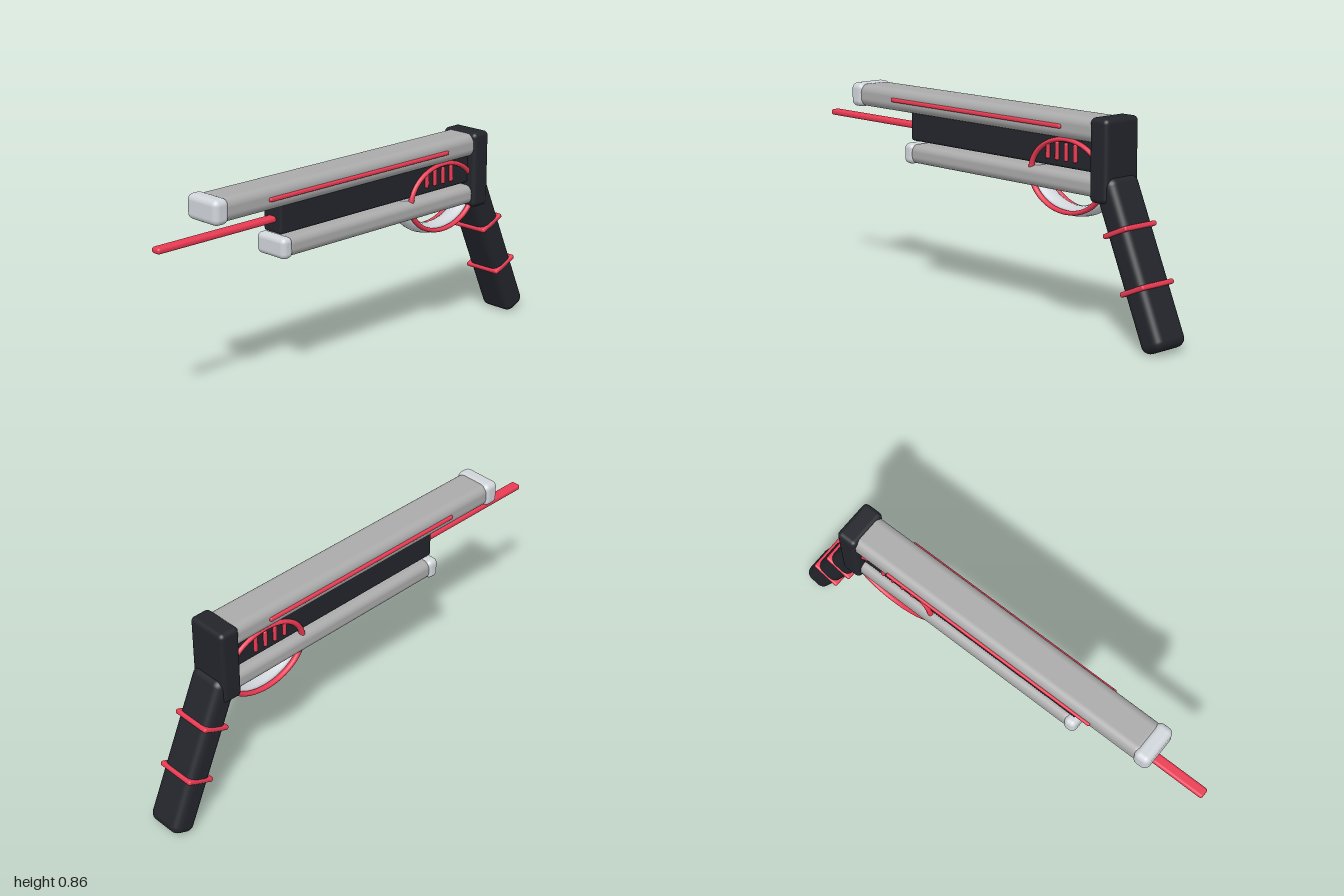
import * as THREE from 'three';
import { RoundedBoxGeometry } from 'three/addons/geometries/RoundedBoxGeometry.js';

const mat = (color) => new THREE.MeshStandardMaterial({ color });

export function createModel() {
  const model = new THREE.Group();
  const grey = mat(0xaaaaaa), pale = mat(0xd0d5da), black = mat(0x23252b), red = mat(0xe83a52);

  function add(name, geometry, material, parent = model) {
    const mesh = new THREE.Mesh(geometry, material);
    mesh.name = name;
    parent.add(mesh);
    return mesh;
  }

  // Rounded block from its extents in x and y, and its depth in z
  function block(name, x0, x1, y0, y1, depth, radius, material, z = 0) {
    const mesh = add(name, new RoundedBoxGeometry(x1 - x0, y1 - y0, depth, 4, radius), material);
    mesh.position.set((x0 + x1) / 2, (y0 + y1) / 2, z);
    return mesh;
  }

  // Flattened ring in the x-y plane
  function ring(name, rx, ry, tube, depth, material, z = 0) {
    const mesh = add(name, new THREE.TorusGeometry(rx, tube, 12, 64), material);
    mesh.scale.set(1, ry / rx, depth / tube);
    mesh.position.set(0.487, 0.61, z);
    return mesh;
  }

  // Barrels with their end caps
  block('upperBarrel', -0.74, 0.68, 0.756, 0.851, 0.16, 0.035, grey);
  block('upperBarrelCap', -0.78, -0.708, 0.753, 0.854, 0.172, 0.025, pale);
  block('lowerBarrel', -0.41, 0.68, 0.549, 0.629, 0.15, 0.03, grey);
  block('lowerBarrelCap', -0.44, -0.385, 0.546, 0.632, 0.16, 0.022, pale);

  // Dark core and the rod reaching out of its end
  block('core', -0.425, 0.68, 0.64, 0.765, 0.1, 0.012, black);
  block('frontRod', -1, -0.4, 0.684, 0.709, 0.044, 0.011, red);

  // Rear plate
  block('rearPlate', 0.64, 0.731, 0.535, 0.857, 0.18, 0.02, black);

  // Guard ring around the core
  ring('guard', 0.197, 0.139, 0.03, 0.04, pale);

  // Trim repeated on both sides
  for (const side of [1, -1]) {
    ring('guardTrim', 0.191, 0.141, 0.012, 0.012, red, side * 0.052);
    block('barrelStripe', -0.51, 0.485, 0.796, 0.813, 0.02, 0.007, red, side * 0.08);
    for (let i = 0; i < 4; i++) {
      const x = 0.388 + i * 0.049;
      block('ventBar', x - 0.008, x + 0.008, 0.667, 0.738, 0.018, 0.006, red, side * 0.051);
    }
  }

  // Slanted grip with two bands
  const grip = new THREE.Group();
  grip.name = 'grip';
  grip.position.set(0.824, 0.318, 0);
  grip.rotation.z = 0.413;
  model.add(grip);
  add('gripBody', new RoundedBoxGeometry(0.108, 0.67, 0.164, 5, 0.035), black, grip);
  for (const y of [0.132, -0.094]) {
    add('gripBand', new RoundedBoxGeometry(0.128, 0.02, 0.174, 3, 0.008), red, grip).position.y = y;
  }

  return model;
}
